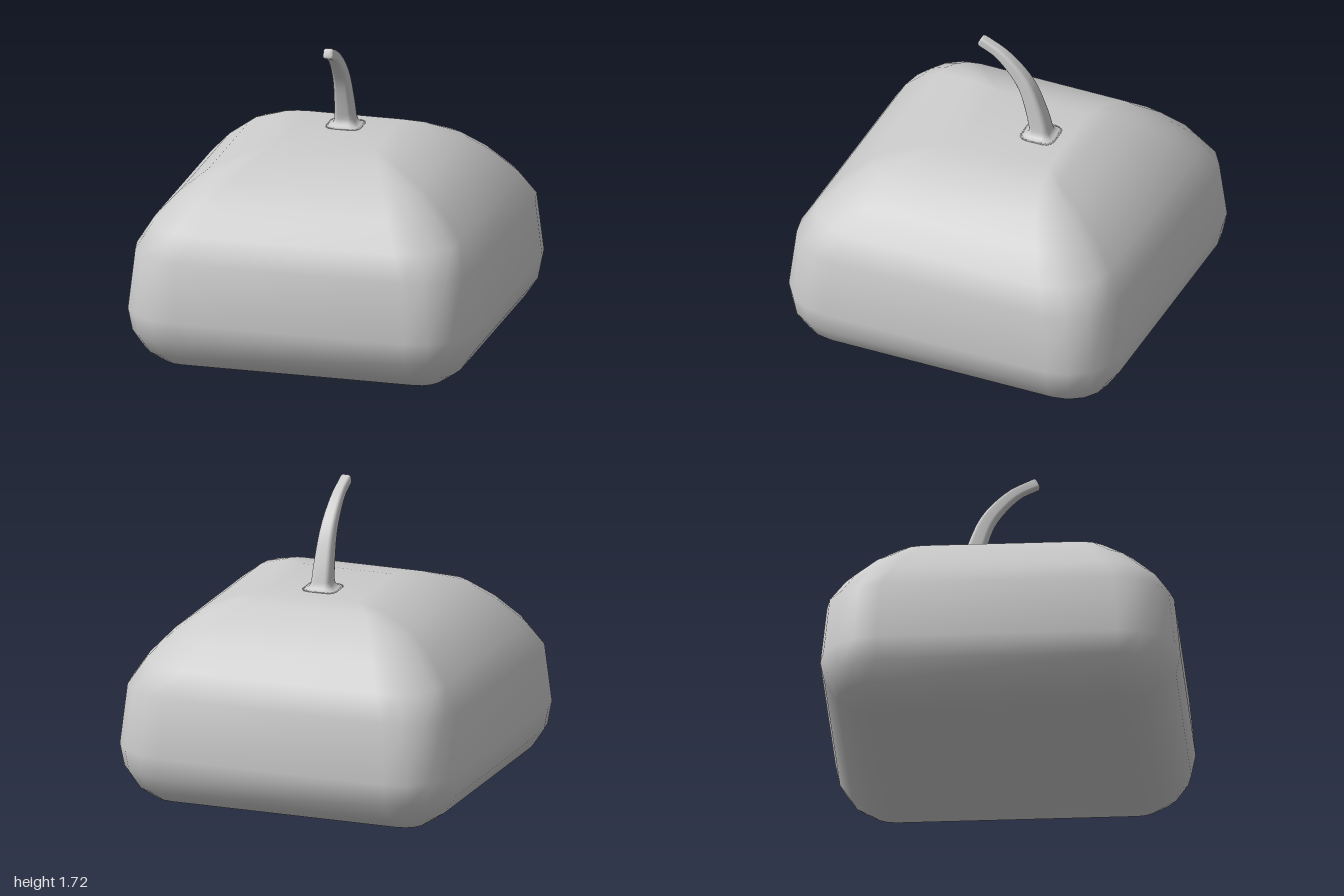
import * as THREE from 'three';
import { mergeVertices } from 'three/addons/utils/BufferGeometryUtils.js';

// Outline of a rounded square: straight half-length `core`, corner radius `r`
function roundedSquare(core, r, segments) {
  const points = [];
  for (let corner = 0; corner < 4; corner++) {
    const mid = (corner + 0.5) * Math.PI / 2;
    const cx = Math.sign(Math.cos(mid)) * core, cy = Math.sign(Math.sin(mid)) * core;
    for (let i = 0; i <= segments; i++) {
      const a = (corner + i / segments) * Math.PI / 2;
      points.push(new THREE.Vector2(cx + r * Math.cos(a), cy + r * Math.sin(a)));
    }
  }
  return points;
}

// Skin a stack of rings, closed at both ends
function loft(rings) {
  const n = rings[0].length, last = (rings.length - 1) * n;
  const centre = ring => ring.reduce((s, p) => s.add(p), new THREE.Vector3()).divideScalar(n);
  const points = [...rings.flat(), centre(rings[0]), centre(rings[rings.length - 1])];
  const index = [];
  for (let j = 0; j < n; j++) {
    const k = (j + 1) % n;
    for (let i = 0; i < last; i += n) {
      index.push(i + j, i + n + j, i + k, i + k, i + n + j, i + n + k);
    }
    index.push(last + n, j, k, last + n + 1, last + k, last + j);
  }
  let geometry = new THREE.BufferGeometry().setFromPoints(points);
  geometry.setIndex(index);
  geometry = mergeVertices(geometry, 1e-4);
  geometry.computeVertexNormals();
  return geometry;
}

function bodyGeometry() {
  const rings = [];
  const addRing = (y, core, r, z = 0) => rings.push(
    roundedSquare(core, r, 4).map(p => new THREE.Vector3(p.x, y, p.y + z)));
  // Quarter-round lower edge
  for (let i = 0; i <= 4; i++) {
    const a = i / 4 * Math.PI / 2;
    addRing(0.33 * (1 - Math.cos(a)), 0.67, 0.33 * Math.sin(a));
  }
  // Domed upper part, its flat top set towards the back: y, core, radius, z
  [
    [0.67, 0.645, 0.32, 0],
    [0.81, 0.58, 0.3, 0],
    [0.948, 0.505, 0.248, 0],
    [1.058, 0.435, 0.178, 0],
    [1.13, 0.355, 0.085, -0.03],
    [1.168, 0.275, 0, -0.095],
  ].forEach(row => addRing(...row));
  return loft(rings);
}

function stemGeometry() {
  const path = new THREE.CatmullRomCurve3([
    [1.215, -0.2], [1.32, -0.172], [1.46, -0.12],
    [1.553, -0.053], [1.644, 0.048], [1.695, 0.155],
  ].map(([y, z]) => new THREE.Vector3(0, y, z)));
  const rings = [];
  const addRing = (centre, tangent, half) => {
    const side = new THREE.Vector3(0, -tangent.z, tangent.y);
    rings.push(roundedSquare(half * 0.5, half * 0.5, 3).map(p =>
      new THREE.Vector3(p.x, 0, 0).addScaledVector(side, p.y).add(centre)));
  };
  // Flared foot
  const up = new THREE.Vector3(0, 1, 0);
  [[1.166, 0.11], [1.172, 0.085], [1.182, 0.069], [1.197, 0.06]].forEach(([y, half]) =>
    addRing(new THREE.Vector3(0, y, -0.2), up, half));
  // Tapering curved stalk
  const steps = 14;
  for (let i = 0; i <= steps; i++) {
    const t = i / steps;
    const tangent = i === 0 ? up : path.getTangentAt(t);
    addRing(path.getPointAt(t), tangent, THREE.MathUtils.lerp(0.056, 0.03, Math.min(1, t * 1.15)));
  }
  // Rounded tip
  const end = path.getPointAt(1), direction = path.getTangentAt(1);
  [[0.008, 0.028], [0.014, 0.021]].forEach(([d, half]) =>
    addRing(end.clone().addScaledVector(direction, d), direction, half));
  return loft(rings);
}

export function createModel() {
  const group = new THREE.Group();
  const material = new THREE.MeshStandardMaterial({ color: 0xcccccc });
  const add = (name, geometry) => {
    const mesh = new THREE.Mesh(geometry, material);
    mesh.name = name;
    group.add(mesh);
  };
  add('body', bodyGeometry());
  add('stem', stemGeometry());
  return group;
}
